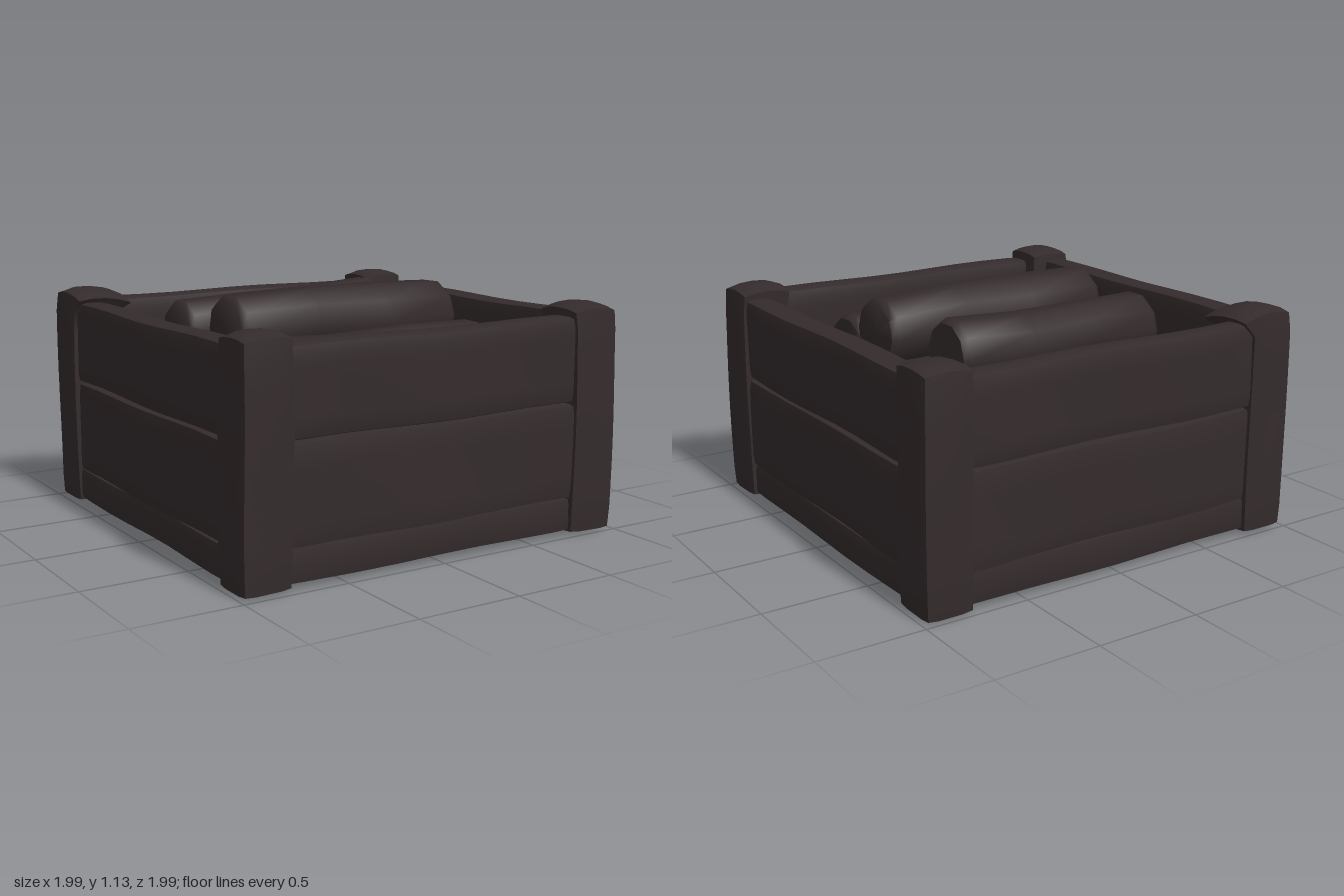
import * as THREE from 'three';
import { mergeVertices, toCreasedNormals } from 'three/addons/utils/BufferGeometryUtils.js';

const wood = new THREE.MeshStandardMaterial({ color: 0x342b2c });
wood.name = 'dark wood';

// Applies a rule to every vertex, then welds and smooths the surface.
function shape(geometry, rule, crease = 0.95) {
  geometry.deleteAttribute('uv');
  geometry.deleteAttribute('normal');
  const p = geometry.attributes.position;
  const v = new THREE.Vector3();
  for (let i = 0; i < p.count; i++) {
    v.fromBufferAttribute(p, i);
    rule(v);
    p.setXYZ(i, v.x, v.y, v.z);
  }
  return toCreasedNormals(mergeVertices(geometry, 1e-4), crease);
}

// Gentle unevenness of hand-cut wood.
function wobble(v, amount, seed) {
  const { x, y, z } = v;
  v.x += amount * Math.sin(5 * y + 4 * z + seed);
  v.y += amount * Math.sin(6 * x + 5 * z + seed * 2.1);
  v.z += amount * Math.sin(5 * x + 4 * y + seed * 1.7);
}

// Beam with softened edges.
function beam(w, h, d, radius, seed, segments, rule = () => {}) {
  const half = new THREE.Vector3(w / 2, h / 2, d / 2);
  const max = half.clone().subScalar(radius);
  const min = max.clone().negate();
  return shape(new THREE.BoxGeometry(w, h, d, ...segments), (v) => {
    const core = v.clone().clamp(min, max);
    v.sub(core).setLength(radius).add(core);
    rule(v);
    wobble(v, 0.004, seed);
  });
}

function add(parent, name, geometry, x, y, z) {
  const mesh = new THREE.Mesh(geometry, wood);
  mesh.name = name;
  mesh.position.set(x, y, z);
  parent.add(mesh);
  return mesh;
}

// Log with bevelled ends, lying along x.
function log(length, ry, rz, seed) {
  const l = length / 2;
  const profile = [[0, -l], [0.85, -l], [1, -l + 0.03], [0.98, -l / 3], [1, l / 3], [0.98, l - 0.03], [0.85, l], [0, l]];
  const geometry = new THREE.LatheGeometry(profile.map(([r, y]) => new THREE.Vector2(r, y)), 10);
  return shape(geometry, (v) => {
    v.set(v.y, -v.x * ry, v.z * rz);
    wobble(v, 0.008, seed);
  });
}

export function createModel() {
  const crate = new THREE.Group();
  crate.name = 'crate of logs';

  // Base
  add(crate, 'base', beam(1.88, 0.16, 1.88, 0.02, 1, [10, 3, 10]), 0, 0.105, 0);

  // Four walls of two planks over a bottom rail
  for (let i = 0; i < 4; i++) {
    const wall = new THREE.Group();
    wall.name = 'wall';
    wall.rotation.y = i * Math.PI / 2;
    add(wall, 'bottomRail', beam(1.74, 0.16, 0.14, 0.02, i, [8, 4, 4]), 0, 0.1, 0.896);
    add(wall, 'lowerPlank', beam(1.74, 0.45, 0.14, 0.025, i + 2, [10, 8, 4]), 0, 0.395, 0.9);
    add(wall, 'upperPlank', beam(1.74, 0.4, 0.14, 0.03, i + 5, [10, 8, 4]), 0, 0.823, 0.9);
    crate.add(wall);
  }

  // Corner posts with worn, domed heads: x sign, z sign, width, size of head
  const posts = [[-1, 1, 0.24, 1], [1, 1, 0.25, 1.05], [1, -1, 0.24, 1], [-1, -1, 0.24, 1.27]];
  posts.forEach(([sx, sz, width, head], i) => {
    const half = width / 2;
    const geometry = beam(width, 1.065, width, 0.028, i * 1.3, [4, 10, 4], (v) => {
      // The head spreads inward and its top slopes down at the rim
      if (v.y > 0.46) {
        v.x = sx * (half - (half - sx * v.x) * head);
        v.z = sz * (half - (half - sz * v.z) * head);
        v.y += 0.015 - 1.0 * (v.x * v.x + v.z * v.z);
      }
    });
    add(crate, 'cornerPost', geometry, sx * (0.99 - half), 0.534, sz * (0.99 - half));
  });

  // Stacked logs: x, y, z, length, half height, half depth, turn, tilt
  const logs = [
    [0.03, 0.75, -0.62, 1.1, 0.14, 0.14, 0, 0],
    [-0.065, 0.92, -0.345, 1.18, 0.16, 0.155, 0.09, 0.035],
    [0.02, 0.96, 0.09, 1.23, 0.175, 0.18, 0.05, 0],
    [-0.03, 0.81, 0.45, 1.23, 0.16, 0.165, 0.02, 0],
    [-0.015, 0.68, -0.03, 1.26, 0.17, 0.21, 0.165, 0],
    [0.02, 0.45, -0.58, 1.04, 0.17, 0.15, 0.02, 0],
    [-0.02, 0.48, 0.43, 1.14, 0.18, 0.16, -0.01, 0],
    [0, 0.36, -0.2, 1.14, 0.17, 0.18, 0.03, 0],
    [0, 0.36, 0.13, 1.16, 0.17, 0.18, 0.02, 0],
  ];
  logs.forEach(([x, y, z, length, ry, rz, turn, tilt], i) => {
    add(crate, 'log', log(length, ry, rz, i * 1.9), x, y, z).rotation.set(0, turn, tilt);
  });

  return crate;
}
